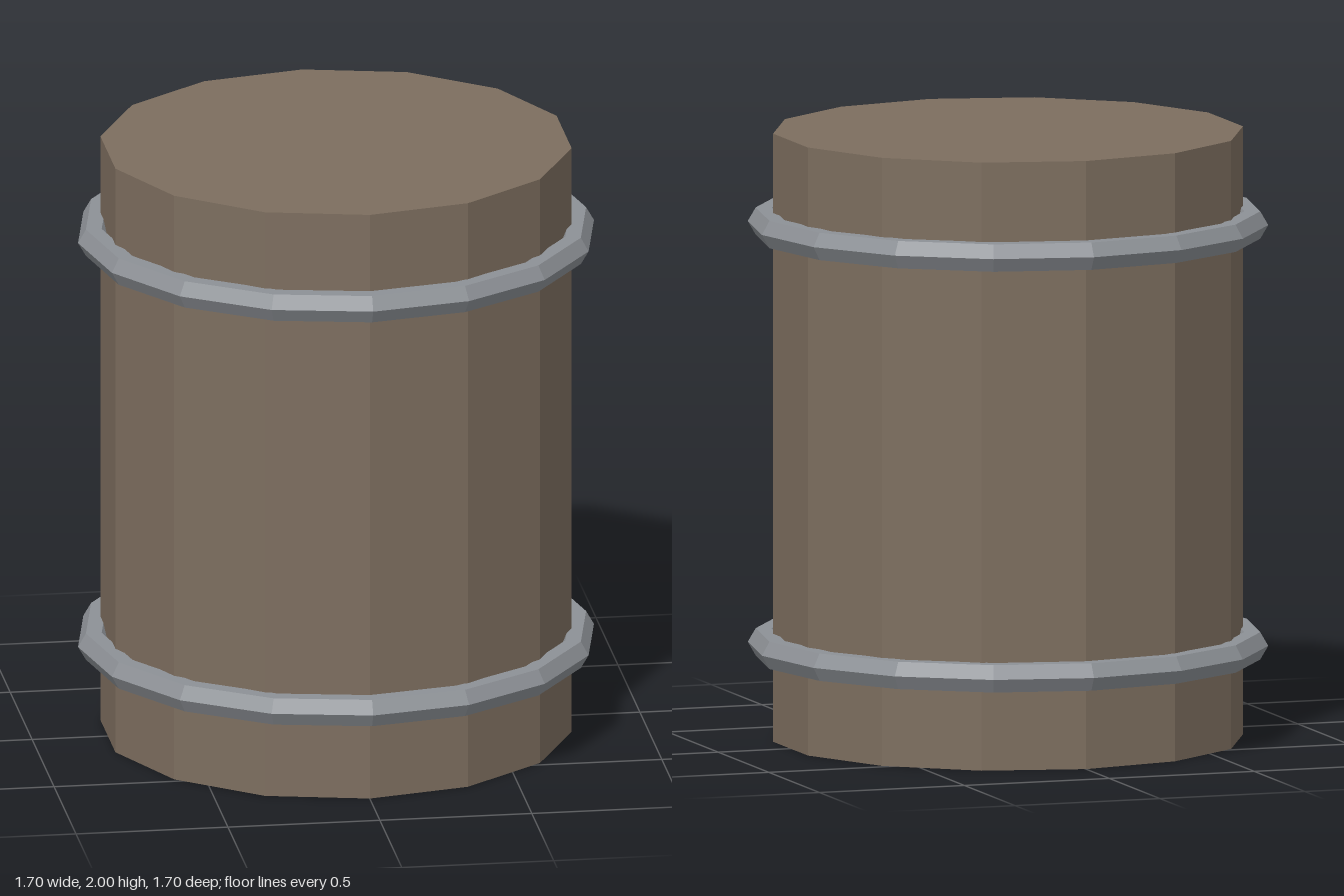
import * as THREE from 'three';

export function createModel() {
  const model = new THREE.Group();
  const wood = new THREE.MeshStandardMaterial({ color: 0x7d6e5f, flatShading: true });
  const metal = new THREE.MeshStandardMaterial({ color: 0x8d9196, flatShading: true });

  // Fourteen-sided barrel body
  const body = new THREE.Mesh(new THREE.CylinderGeometry(0.77, 0.77, 2, 14), wood);
  body.name = 'barrelBody';
  body.position.y = 1;
  model.add(body);

  // Two hoops with a hexagonal section
  const hoopGeometry = new THREE.TorusGeometry(0.797, 0.052, 6, 16).rotateX(Math.PI / 2);
  for (const [name, y] of [['lowerHoop', 0.31], ['upperHoop', 1.694]]) {
    const hoop = new THREE.Mesh(hoopGeometry, metal);
    hoop.name = name;
    hoop.position.y = y;
    model.add(hoop);
  }
  return model;
}
